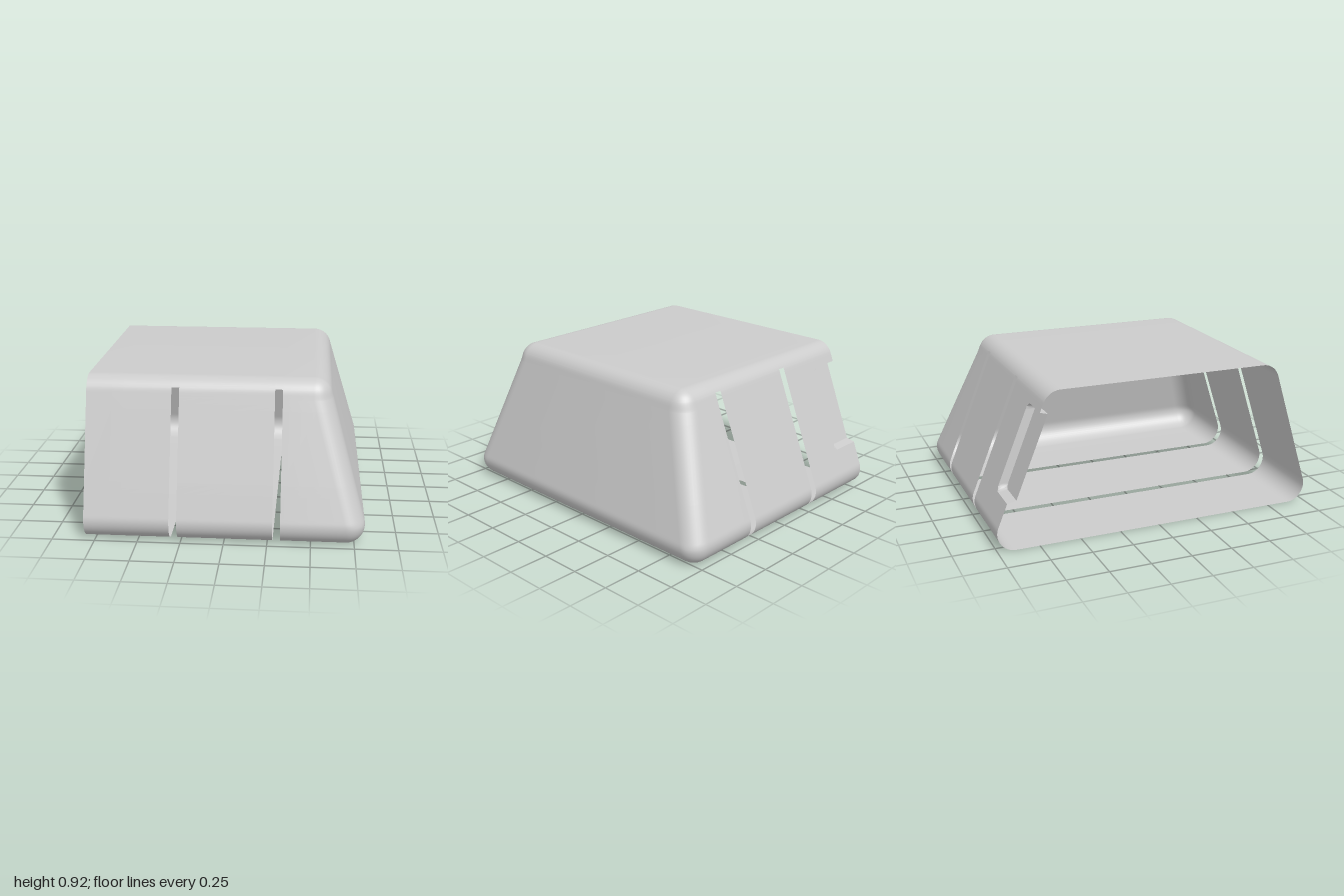
import * as THREE from 'three';
import { mergeVertices, toCreasedNormals } from 'three/addons/utils/BufferGeometryUtils.js';

const R = 0.11, H = 0.92, OPEN_X = -0.81;
const SLOT_TOP = 0.865;
const SLOTS = [[-0.315, -0.27], [0.28, 0.325]];
const POCKET = { x: -0.6, y0: 0.29, y1: 0.8, round: 0.04, depth: 0.05, ramp: 0.012 };

// Core line of a sloping wall (fillet centres, bottom to top)
const core = (b, t, y) =>
  THREE.MathUtils.lerp(b, t, THREE.MathUtils.clamp((y - R) / (H - 2 * R), 0, 1));

// Distance from the core line to the filleted wall at height y
function offset(b, t, y) {
  const tilt = Math.atan2(Math.abs(b - t), H - 2 * R);
  const low = R * (1 + Math.sin(tilt)), high = H - R + R * Math.sin(tilt);
  const arc = c => Math.sqrt(Math.max(0, R * R - (y - c) ** 2));
  const edge = y < low ? b + arc(R)
    : y > high ? t + arc(H - R)
    : THREE.MathUtils.lerp(b + R * Math.cos(tilt), t + R * Math.cos(tilt), (y - low) / (high - low));
  return edge - core(b, t, y);
}

// Inward depth of the rounded pocket in the back wall
function pocketDepth(x, y) {
  const { x: px, y0, y1, round, depth, ramp } = POCKET;
  const qx = x - px + round;
  const qy = Math.abs(y - (y0 + y1) / 2) - (y1 - y0) / 2 + round;
  const d = Math.hypot(Math.max(qx, 0), Math.max(qy, 0)) + Math.min(Math.max(qx, qy), 0) - round;
  return depth * THREE.MathUtils.clamp(-d / ramp, 0, 1);
}

const range = (a, b, n) => Array.from({ length: n + 1 }, (_, i) => a + (b - a) * i / n);
const sorted = list => [...new Set(list.map(v => +v.toFixed(5)))].sort((a, b) => a - b);

function shellGeometry() {
  // Stations along the open-ended walls and levels up their height
  const xs = sorted([OPEN_X, ...range(-0.66, -0.594, 11), ...SLOTS.flat()]);
  const ys = sorted([
    ...range(0, Math.PI / 2, 12).map(a => R - R * Math.cos(a)),
    ...range(0.12, 0.16, 4),
    ...range(0.284, 0.344, 10), ...range(0.746, 0.806, 10),
    ...range(0, Math.PI / 2, 14).map(a => H - R + R * Math.sin(a)),
    SLOT_TOP,
  ]);
  const arc = range(0, Math.PI / 2, 10);

  // One U-shaped outline per level: front wall, closed end, back wall
  const ring = y => {
    const cx = core(0.70, 0.50, y), ox = offset(0.70, 0.50, y);
    const cf = core(0.89, 0.667, y), of = offset(0.89, 0.667, y);
    const cb = core(0.89, 0.61, y), ob = offset(0.89, 0.61, y);
    return [
      ...xs.map(x => [x, y, cf + of]),
      ...arc.map(a => [cx + ox * Math.sin(a), y, cf + of * Math.cos(a)]),
      ...arc.map(a => [cx + ox * Math.cos(a), y, -cb - ob * Math.sin(a)]),
      ...[...xs].reverse().map(x => [x, y, -cb - ob + pocketDepth(x, y)]),
    ];
  };
  const rings = ys.map(ring);
  const n = rings[0].length, last = ys.length - 1;
  const index = [];
  const quad = (a, b, c, d) => index.push(a, b, c, a, c, d);
  const inSlot = x => SLOTS.some(([a, b]) => x > a && x < b);

  // Walls, leaving the slots open
  for (let i = 0; i < last; i++) {
    for (let j = 0; j < n - 1; j++) {
      const side = Math.min(j, n - 2 - j);
      const slot = side < xs.length - 1 && inSlot((xs[side] + xs[side + 1]) / 2);
      if (slot && (ys[i] + ys[i + 1]) / 2 < SLOT_TOP) continue;
      quad(i * n + j, i * n + j + 1, (i + 1) * n + j + 1, (i + 1) * n + j);
    }
  }

  // Slotted floor and plain top
  for (let j = 0; j < xs.length; j++) {
    const k = n - 1 - j, t = last * n;
    const slot = j < xs.length - 1 && inSlot((xs[j] + xs[j + 1]) / 2);
    if (!slot) quad(j, k, k - 1, j + 1);
    quad(t + j, t + j + 1, t + k - 1, t + k);
  }

  const geometry = new THREE.BufferGeometry();
  geometry.setAttribute('position', new THREE.Float32BufferAttribute(rings.flat(2), 3));
  geometry.setIndex(index);
  return toCreasedNormals(mergeVertices(geometry, 1e-5), 0.6);
}

export function createModel() {
  const group = new THREE.Group();
  group.name = 'slottedCover';
  const material = new THREE.MeshStandardMaterial({ color: 0xcccccc, side: THREE.DoubleSide });
  const shell = new THREE.Mesh(shellGeometry(), material);
  shell.name = 'shell';
  group.add(shell);
  return group;
}
